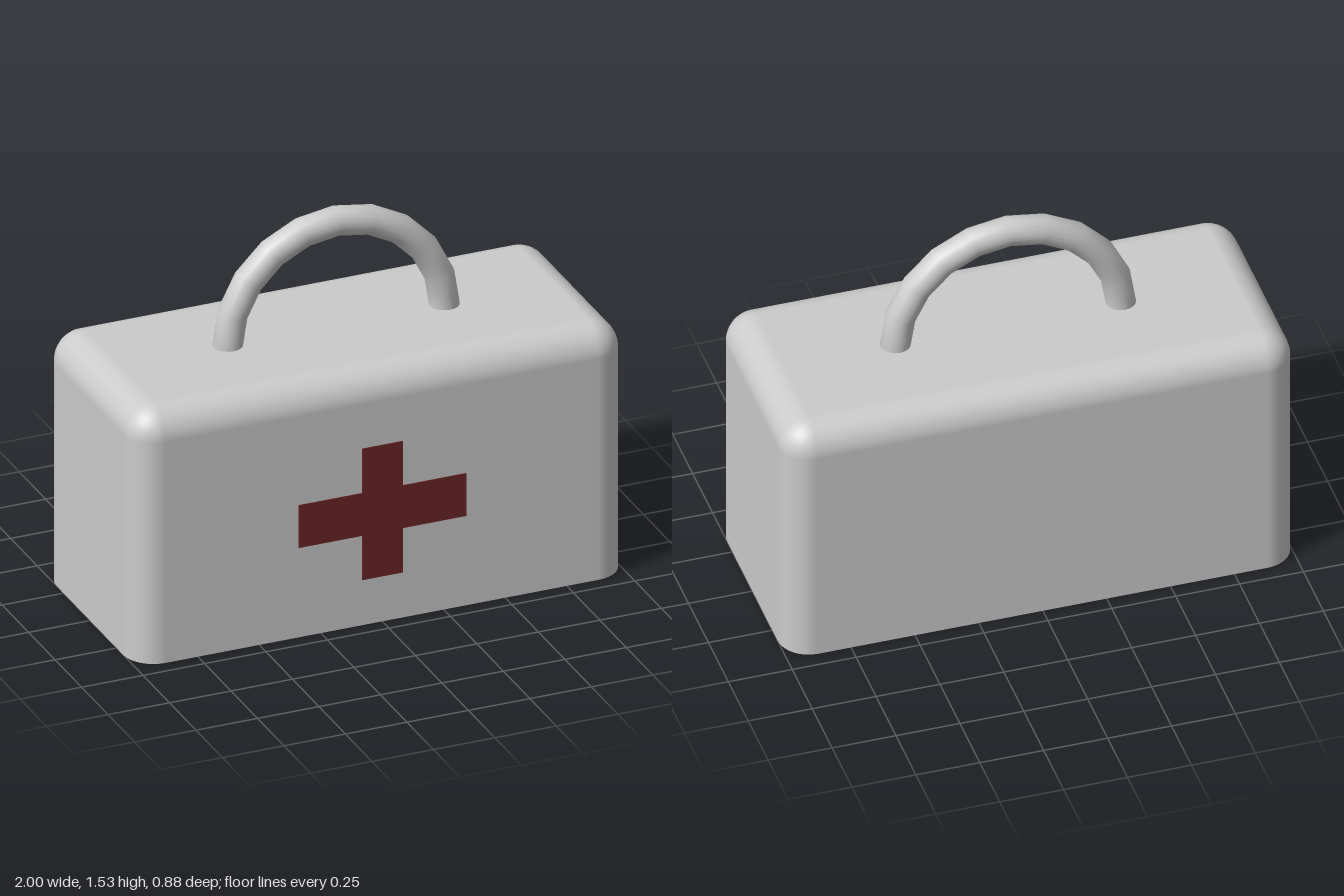
import * as THREE from 'three';

const W = 2, H = 1.04, D = 0.875, R = 0.12;

// Box with rounded upright corners and top edges, and a sharp flat bottom
function caseGeometry(steps = 8) {
  const positions = [], normals = [], index = [];
  const signs = [[1, 1], [-1, 1], [-1, -1], [1, -1]];
  const count = 4 * (steps + 1);

  // One rounded-rectangle ring; lat is the angle up the rounded top edge
  const addRing = (baseY, lat, down = false) => {
    for (let c = 0; c < 4; c++) {
      for (let i = 0; i <= steps; i++) {
        const a = (c + i / steps) * Math.PI / 2;
        const nx = Math.cos(a) * Math.cos(lat);
        const ny = Math.sin(lat);
        const nz = Math.sin(a) * Math.cos(lat);
        positions.push(
          signs[c][0] * (W / 2 - R) + R * nx,
          baseY + R * ny,
          signs[c][1] * (D / 2 - R) + R * nz);
        if (down) normals.push(0, -1, 0);
        else normals.push(nx, ny, nz);
      }
    }
  };

  // Walls and rounded shoulder
  addRing(0, 0);
  for (let j = 0; j <= steps; j++) addRing(H - R, j / steps * Math.PI / 2);
  for (let j = 0; j <= steps; j++) {
    for (let i = 0; i < count; i++) {
      const k = (i + 1) % count;
      const a = j * count + i, b = j * count + k;
      index.push(a, a + count, b, b, a + count, b + count);
    }
  }

  // Flat top and bottom
  const top = (steps + 1) * count, bottom = top + count;
  addRing(0, 0, true);
  for (let i = 1; i < count - 1; i++) {
    index.push(top, top + i + 1, top + i);
    index.push(bottom, bottom + i, bottom + i + 1);
  }

  const geometry = new THREE.BufferGeometry();
  geometry.setAttribute('position', new THREE.Float32BufferAttribute(positions, 3));
  geometry.setAttribute('normal', new THREE.Float32BufferAttribute(normals, 3));
  geometry.setIndex(index);
  return geometry;
}

// Plus-shaped outline
function crossShape(halfW, halfH, armX, armY) {
  return new THREE.Shape([
    [armX, -halfH], [armX, -armY], [halfW, -armY], [halfW, armY],
    [armX, armY], [armX, halfH], [-armX, halfH], [-armX, armY],
    [-halfW, armY], [-halfW, -armY], [-armX, -armY], [-armX, -halfH],
  ].map(([x, y]) => new THREE.Vector2(x, y)));
}

export function createModel() {
  const group = new THREE.Group();
  group.name = 'firstAidCase';
  const grey = new THREE.MeshStandardMaterial({ color: 0xcccccc });
  const red = new THREE.MeshStandardMaterial({ color: 0x6a2523 });

  const add = (name, geometry, material, y, z) => {
    const mesh = new THREE.Mesh(geometry, material);
    mesh.name = name;
    mesh.position.set(0, y, z);
    group.add(mesh);
  };

  add('caseBody', caseGeometry(), grey, 0, 0);

  // Half-ring carrying handle
  add('handle', new THREE.TorusGeometry(0.442, 0.058, 20, 10, Math.PI), grey, 1.03, 0);

  // Thin cross on the front face
  const cross = new THREE.ExtrudeGeometry(crossShape(0.34, 0.274, 0.082, 0.089),
    { depth: 0.004, bevelEnabled: false });
  add('frontCross', cross, red, 0.463, D / 2 - 0.001);

  return group;
}
